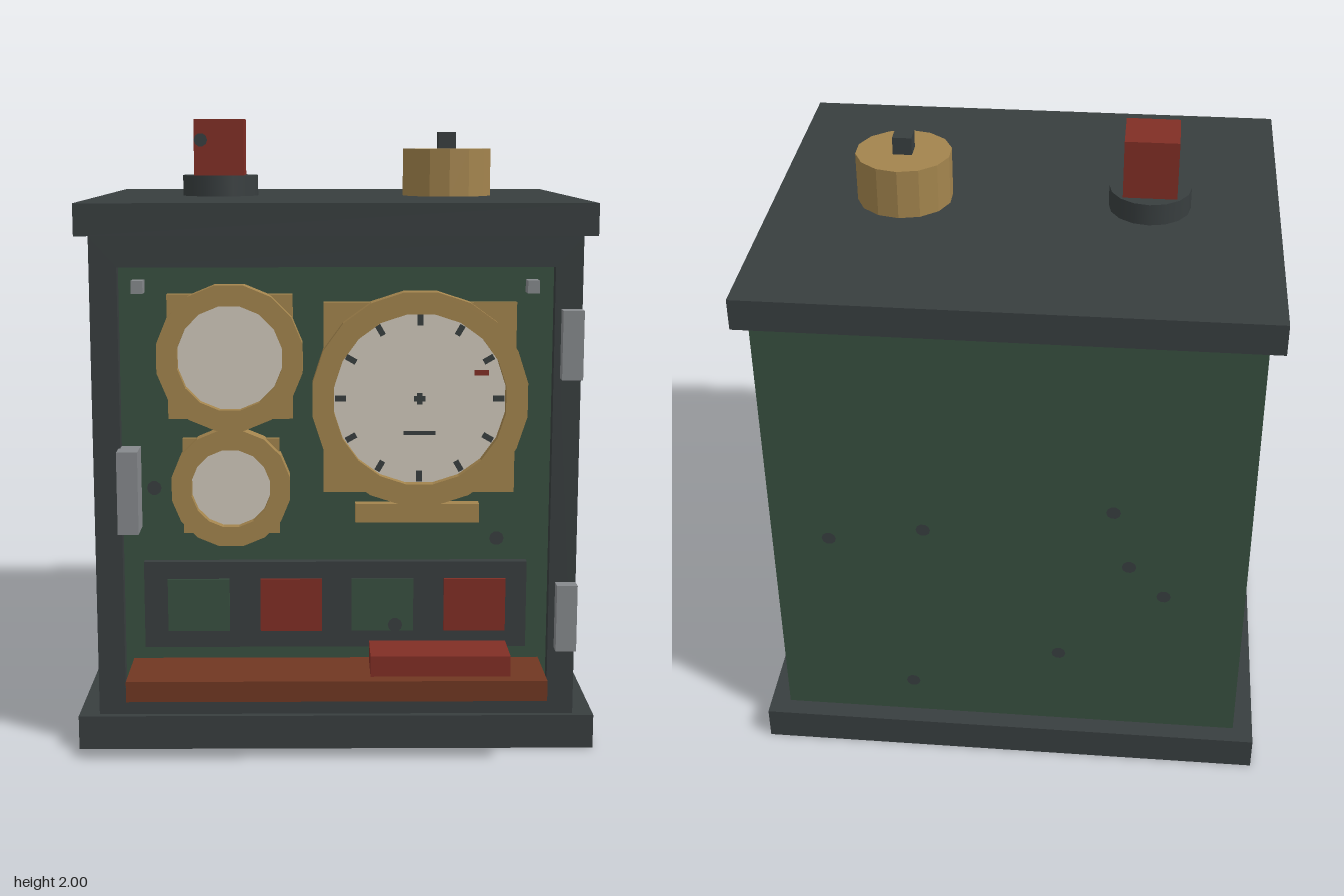
import * as THREE from 'three';

const mat = (name, color) => {
  const m = new THREE.MeshStandardMaterial({ color });
  m.name = name;
  return m;
};

export function createModel() {
  const group = new THREE.Group();
  const green = mat('green paint', 0x385040);
  const dark = mat('dark iron', 0x383e3f);
  const brass = mat('brass', 0xa3844d);
  const cream = mat('cream dial', 0xd0c9bb);
  const red = mat('red paint', 0x802e25);
  const wood = mat('red brown wood', 0x703722);
  const grey = mat('grey steel', 0x86898c);

  const add = (name, geometry, material, parent = group) => {
    const mesh = new THREE.Mesh(geometry, material);
    mesh.name = name;
    parent.add(mesh);
    return mesh;
  };
  // Box given by its limits on each axis
  const box = (name, material, x0, x1, y0, y1, z0, z1, parent = group) => {
    const mesh = add(name, new THREE.BoxGeometry(x1 - x0, y1 - y0, z1 - z0), material, parent);
    mesh.position.set((x0 + x1) / 2, (y0 + y1) / 2, (z0 + z1) / 2);
    return mesh;
  };
  // Flat polygonal outline with a given radius
  const polygon = (radius, sides, PathType) => {
    const points = [];
    for (let i = 0; i < sides; i++) {
      const a = ((i + 0.5) / sides) * Math.PI * 2;
      points.push(new THREE.Vector2(Math.cos(a) * radius, Math.sin(a) * radius));
    }
    return new PathType(points);
  };
  const rectangle = (x0, x1, y0, y1, PathType) => new PathType([
    new THREE.Vector2(x0, y0), new THREE.Vector2(x1, y0),
    new THREE.Vector2(x1, y1), new THREE.Vector2(x0, y1),
  ]);
  const extrude = (shape, depth) => new THREE.ExtrudeGeometry(shape, { depth, bevelEnabled: false });

  // Cabinet
  box('base', dark, -0.825, 0.825, 0, 0.11, -0.8, 0.63);
  box('body', green, -0.76, 0.76, 0.11, 1.64, -0.74, 0.57);
  box('topCap', dark, -0.805, 0.805, 1.64, 1.74, -0.78, 0.61);

  // Front frame around the recessed panel
  const frameShape = rectangle(-0.76, 0.76, 0.11, 1.64, THREE.Shape);
  frameShape.holes.push(rectangle(-0.675, 0.675, 0.2, 1.545, THREE.Path));
  add('frontFrame', extrude(frameShape, 0.04), dark).position.z = 0.57;

  // Dials: square backing, ring and recessed face
  const dial = (name, x, y, outer, inner, half, sides) => {
    const g = new THREE.Group();
    g.name = name;
    g.position.set(x, y, 0.57);
    group.add(g);
    box('backing', brass, -half, half, -half, half, 0, 0.022, g);
    const ring = polygon(outer, sides, THREE.Shape);
    ring.holes.push(polygon(inner, sides, THREE.Path));
    add('ring', extrude(ring, 0.063), brass, g);
    add('face', new THREE.CircleGeometry(inner + 0.005, 32), cream, g).position.z = 0.03;
    return g;
  };
  const large = dial('largeDial', 0.26, 1.135, 0.338, 0.27, 0.3, 20);
  dial('mediumDial', -0.33, 1.265, 0.23, 0.165, 0.195, 16);
  dial('smallDial', -0.33, 0.855, 0.188, 0.125, 0.152, 16);
  box('dialPlate', brass, 0.06, 0.45, 0.74, 0.8, 0.57, 0.61);

  // Marks on the large dial
  for (let i = 0; i < 12; i++) {
    const a = (i / 12) * Math.PI * 2;
    const tick = add('tick', new THREE.BoxGeometry(0.035, 0.018, 0.004), dark, large);
    tick.position.set(Math.cos(a) * 0.247, Math.sin(a) * 0.247, 0.032);
    tick.rotation.z = a;
  }
  box('hubAcross', dark, -0.018, 0.018, -0.008, 0.008, 0.03, 0.035, large);
  box('hubUpright', dark, -0.008, 0.008, -0.018, 0.018, 0.03, 0.034, large);
  box('dialMark', dark, -0.05, 0.05, -0.115, -0.103, 0.03, 0.034, large);
  box('redMark', red, 0.17, 0.215, 0.073, 0.09, 0.03, 0.034, large);

  // Button panel
  box('buttonPanel', dark, -0.61, 0.605, 0.33, 0.61, 0.57, 0.597);
  [-0.437, -0.143, 0.147, 0.44].forEach((x, i) =>
    box('button', i % 2 ? red : green, x - 0.098, x + 0.098, 0.385, 0.555, 0.59, 0.605));

  // Shelf and the block on it
  box('shelf', wood, -0.65, 0.65, 0.22, 0.285, 0.57, 0.803);
  box('shelfBlock', red, 0.105, 0.54, 0.285, 0.35, 0.6, 0.76);

  // Latch, hinges and corner screws
  box('latch', grey, -0.68, -0.615, 0.72, 0.98, 0.57, 0.68);
  box('upperHinge', grey, 0.695, 0.76, 1.2, 1.415, 0.6, 0.655);
  box('lowerHinge', grey, 0.695, 0.76, 0.33, 0.545, 0.6, 0.655);
  for (const x of [-0.612, 0.606]) {
    box('cornerScrew', grey, x - 0.018, x + 0.018, 1.465, 1.505, 0.57, 0.63);
  }

  // Signal lamp on the top
  add('lampBase', new THREE.CylinderGeometry(0.13, 0.13, 0.07, 16).toNonIndexed(), dark)
    .position.set(-0.395, 1.775, -0.09);
  box('lamp', red, -0.48, -0.31, 1.81, 2, -0.175, 0);

  // Brass bell on the top
  const bell = add('bell', new THREE.CylinderGeometry(0.153, 0.153, 0.16, 14).toNonIndexed(), brass);
  bell.position.set(0.388, 1.82, -0.088);
  bell.geometry.computeVertexNormals();
  box('bellButton', dark, 0.357, 0.418, 1.9, 1.957, -0.118, -0.055);

  // Dark wear spots, the same pattern on every wall
  const spots = [[-0.575, 0.845], [-0.27, 0.9], [0.33, 1.01], [0.385, 0.795],
    [0.5, 0.68], [0.165, 0.41], [-0.325, 0.245]];
  const wall = (turn, x, z, list) => {
    const g = new THREE.Group();
    g.name = 'wearSpots';
    g.position.set(x, 0, z);
    g.rotation.y = turn;
    group.add(g);
    for (const [u, y] of list) {
      add('spot', new THREE.CircleGeometry(0.023, 10), dark, g).position.set(u, y, 0);
    }
  };
  wall(0, 0, 0.573, [spots[0], [0.51, 0.68]]);
  wall(Math.PI / 2, 0.763, 0, spots.slice(1));
  wall(Math.PI, 0, -0.743, spots);
  wall(-Math.PI / 2, -0.763, 0, spots.slice(1));
  wall(0, 0, 0.608, [[0.187, 0.405]]);
  wall(0, 0, 0.003, [[-0.457, 1.93]]);

  return group;
}
